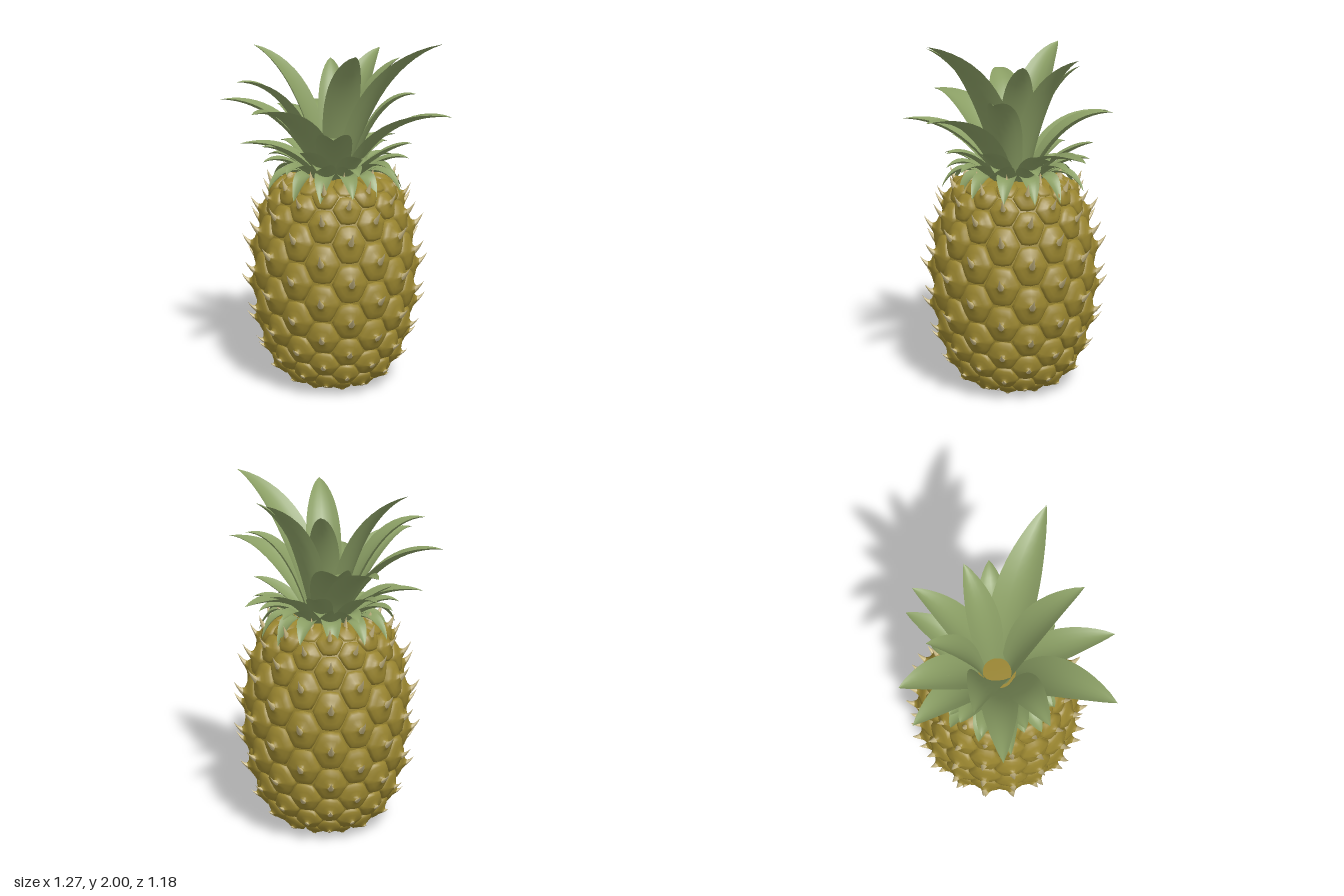
import * as THREE from 'three';
import { mergeGeometries } from 'three/addons/utils/BufferGeometryUtils.js';

const mat = (name, color, side = THREE.FrontSide) => {
  const m = new THREE.MeshStandardMaterial({ color, side });
  m.name = name;
  return m;
};

const CX = 0.01, CZ = -0.045, COLUMNS = 18, STEP = (Math.PI * 2) / COLUMNS;

// Fruit profile: one point (radius, height) for every half row of scales
const ROWS = [
  [0.15, 0.01], [0.225, 0.035], [0.288, 0.08], [0.334, 0.14], [0.368, 0.21], [0.392, 0.29],
  [0.412, 0.38], [0.428, 0.48], [0.437, 0.59], [0.437, 0.7], [0.43, 0.81], [0.412, 0.92],
  [0.388, 1.02], [0.362, 1.1], [0.33, 1.165], [0.26, 1.21], [0.13, 1.23],
].map(([r, y]) => new THREE.Vector2(r, y));
const profile = new THREE.SplineCurve(ROWS);
const LAST = ROWS.length - 1;
const at = (s) => THREE.MathUtils.clamp(s / LAST, 0, 1);

// One hexagonal scale wrapped on the fruit; rings = [fraction of outline, height]
function scaleGeometry(column, row, rings) {
  const SEG = 20, pos = [], idx = [];
  const span = profile.getPoint(at(row + 1)).distanceTo(profile.getPoint(at(row - 1)));
  // Scales shrink toward both ends of the fruit
  const size = Math.min(1, span / 0.2) * Math.min(1, 0.2 + Math.abs(profile.getTangent(at(row)).y));
  rings.forEach(([f, h], j) => {
    for (let i = 0; i < SEG; i++) {
      const phi = (i / SEG) * Math.PI * 2;
      const c = Math.cos(phi), s = Math.sin(phi);
      // Softened hexagon outline
      const flat = Math.abs(s), slant = (Math.abs(c) + Math.abs(s) / 3) * 1.5;
      const reach = f * Math.pow(flat ** 10 + slant ** 10, -0.1);
      const t = at(row + s * reach);
      const p = profile.getPoint(t), d = profile.getTangent(t);
      const a = column * STEP + c * reach * STEP;
      const r = p.x + d.y * h * size;
      const hook = 12 * Math.max(0, h - 0.03) ** 2 * size;
      const y = Math.max(0.004, p.y - d.x * h * size + hook);
      pos.push(Math.cos(a) * r, y, Math.sin(a) * r);
      if (j < rings.length - 1) {
        const n = (i + 1) % SEG, A = j * SEG + i, B = j * SEG + n;
        idx.push(A, B + SEG, B, A, A + SEG, B + SEG);
      }
    }
  });
  const g = new THREE.BufferGeometry();
  g.setAttribute('position', new THREE.Float32BufferAttribute(pos, 3));
  g.setIndex(idx);
  g.computeVertexNormals();
  return g;
}

// Cupped pointed blade from radius r0, height y0 to a tip, bending through a control point
function bladeGeometry([tx, ty, tz], width, r0, y0, bendR, bendY, cup = 0.35) {
  const g = new THREE.PlaneGeometry(1, 1, 6, 14);
  const p = g.attributes.position;
  const dx = tx - CX, dz = tz - CZ, R = Math.hypot(dx, dz);
  const ux = dx / R, uz = dz / R;
  const path = new THREE.QuadraticBezierCurve(
    new THREE.Vector2(r0, y0),
    new THREE.Vector2(r0 + (R - r0) * bendR, bendY),
    new THREE.Vector2(R, ty));
  for (let i = 0; i < p.count; i++) {
    const across = p.getX(i) * 2, t = p.getY(i) + 0.5;
    const c = path.getPoint(t), d = path.getTangent(t);
    const half = (width / 2) * Math.max(0, Math.sin(Math.PI * (0.18 + 0.82 * t))) ** 0.85;
    const lift = cup * half * across * across;
    const r = c.x - d.y * lift, y = c.y + d.x * lift;
    p.setXYZ(i, CX + ux * r - uz * across * half, y, CZ + uz * r + ux * across * half);
  }
  g.computeVertexNormals();
  return g;
}

export function createModel() {
  const gold = mat('goldenRind', 0x98842f);
  const pale = mat('paleSpike', 0xc8b884);
  const green = mat('leafGreen', 0x8a9e64, THREE.DoubleSide);
  const grey = mat('driedBase', 0xb4ac9f, THREE.DoubleSide);

  const model = new THREE.Group();
  model.name = 'pineapple';
  const add = (name, geometry, material, parent = model) => {
    const mesh = new THREE.Mesh(geometry, material);
    mesh.name = name;
    parent.add(mesh);
    return mesh;
  };

  // Fruit: smooth core under staggered scales, each ending in a hooked spike
  const fruit = new THREE.Group();
  fruit.name = 'fruit';
  fruit.position.set(CX, 0, CZ);
  model.add(fruit);
  const corePoints = [new THREE.Vector2(0, 0.01), ...profile.getPoints(48), new THREE.Vector2(0, 1.23)];
  add('core', new THREE.LatheGeometry(corePoints, 54), gold, fruit);

  const domeRings = [[1, -0.008], [0.95, 0.01], [0.84, 0.022], [0.58, 0.03], [0.34, 0.036], [0.22, 0.046], [0.17, 0.054]];
  const spikeRings = [[0.17, 0.054], [0.115, 0.068], [0.06, 0.086], [0, 0.102]];
  const domes = [], spikes = [];
  for (let row = 1; row < LAST; row++) {
    for (let col = 0; col < COLUMNS; col++) {
      if ((row + col) % 2 === 0) continue;
      domes.push(scaleGeometry(col, row, domeRings));
      spikes.push(scaleGeometry(col, row, spikeRings));
    }
  }
  add('scales', mergeGeometries(domes), gold, fruit);
  add('scaleSpikes', mergeGeometries(spikes), pale, fruit);

  // Dried base: disc with pointed bracts
  const disc = add('baseDisc', new THREE.CylinderGeometry(0.165, 0.16, 0.014, 36), grey);
  disc.position.set(CX, 0.007, CZ);
  for (let i = 0; i < 8; i++) {
    const a = (i / 8) * Math.PI * 2 + 0.2;
    const tip = [CX + Math.cos(a) * 0.25, 0.03, CZ + Math.sin(a) * 0.25];
    add('baseBract', bladeGeometry(tip, 0.1, 0.13, 0.003, 0.6, 0.004, 0.1), grey);
  }

  // Crown: large leaves listed by tip position and width
  const crown = new THREE.Group();
  crown.name = 'crown';
  model.add(crown);
  const bigLeaves = [
    [0.575, 2.0, 0.325, 0.24], [0.11, 1.945, 0.43, 0.2], [-0.45, 1.945, -0.24, 0.22],
    [0.385, 1.88, -0.146, 0.18], [-0.005, 1.85, -0.41, 0.17], [-0.53, 1.775, 0.13, 0.2],
    [0.47, 1.69, 0, 0.18], [0.285, 1.91, -0.43, 0.2], [-0.434, 1.655, 0.505, 0.24],
    [-0.636, 1.645, -0.13, 0.2], [0.63, 1.61, 0.325, 0.2], [-0.115, 1.58, -0.59, 0.22],
    [-0.326, 1.56, -0.55, 0.2], [-0.01, 1.535, 0.595, 0.2], [0.39, 1.38, -0.485, 0.18],
    [-0.53, 1.4, -0.07, 0.16],
  ];
  for (const [x, y, z, w] of bigLeaves) {
    const tall = y > 1.8;
    const bendY = tall ? 1.22 + (y - 1.22) * 0.8 : Math.max(y, 1.42);
    add('crownLeaf', bladeGeometry([x, y, z], w, tall ? 0.075 : 0.095, 1.21, tall ? 0.28 : 0.38, bendY), green, crown);
  }

  // Rings of smaller leaves: [name, count, tip radius, tip height, width, base radius, bend height, turn]
  const smallRings = [
    ['middleLeaf', 7, 0.42, 1.4, 0.14, 0.1, 1.4, 0.25],
    ['lowerLeaf', 11, 0.4, 1.3, 0.12, 0.13, 1.36, 0.1],
    ['droopingLeaf', 14, 0.385, 1.14, 0.11, 0.16, 1.34, 0],
  ];
  for (const [name, count, radius, height, width, base, bendY, turn] of smallRings) {
    for (let i = 0; i < count; i++) {
      const a = (i / count) * Math.PI * 2 + turn;
      const vary = Math.sin(i * 2.4 + turn * 9);
      const r = radius + vary * 0.03;
      const tip = [CX + Math.cos(a) * r, height + vary * 0.03, CZ + Math.sin(a) * r];
      add(name, bladeGeometry(tip, width, base, 1.21, 0.6, bendY), green, crown);
    }
  }
  return model;
}
